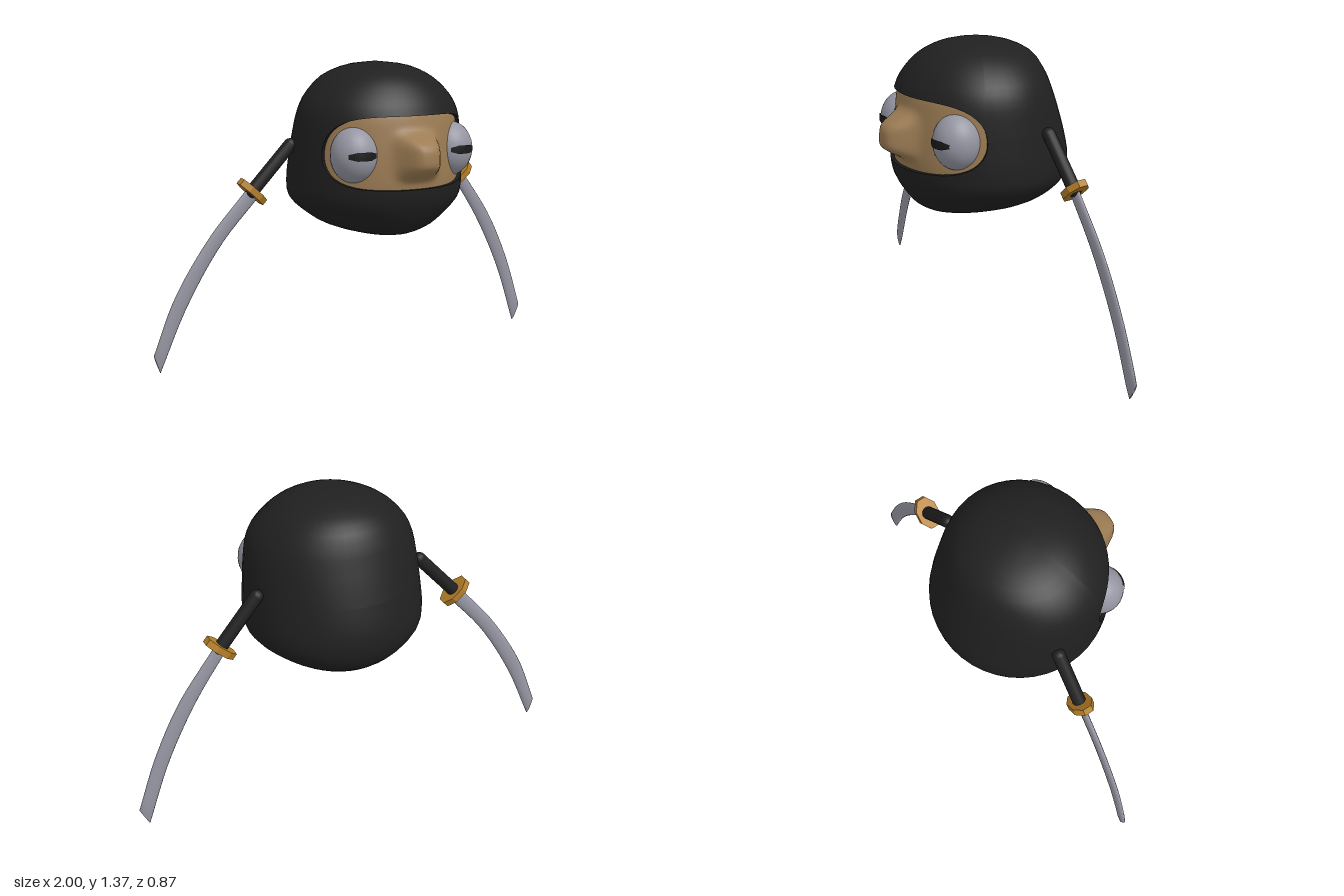
import * as THREE from 'three';
import { mergeVertices } from 'three/addons/utils/BufferGeometryUtils.js';

const CX = 0.028; // middle of the head
const V = (x, y, z) => new THREE.Vector3(x, y, z);

const makeMaterial = (name, color, side = THREE.FrontSide) => {
  const m = new THREE.MeshStandardMaterial({ color, side });
  m.name = name;
  return m;
};

// Surface from a grid of points: rows run down, columns run left to right seen from outside
function gridGeometry(rows, cols, point) {
  const pos = [], idx = [];
  for (let i = 0; i <= rows; i++)
    for (let j = 0; j <= cols; j++) pos.push(...point(i, j).toArray());
  for (let i = 0; i < rows; i++)
    for (let j = 0; j < cols; j++) {
      const a = i * (cols + 1) + j, c = a + cols + 1;
      idx.push(a, c, c + 1, a, c + 1, a + 1);
    }
  let g = new THREE.BufferGeometry();
  g.setAttribute('position', new THREE.Float32BufferAttribute(pos, 3));
  g.setIndex(idx);
  g = mergeVertices(g, 1e-5);
  g.computeVertexNormals();
  return g;
}

// Head rings from crown to base: height, half width, front z, back z
const RINGS = [
  [1.37, 0, -0.03, -0.03], [1.353, 0.135, 0.115, -0.16], [1.305, 0.246, 0.22, -0.265],
  [1.23, 0.326, 0.29, -0.315], [1.155, 0.364, 0.328, -0.345], [1.06, 0.38, 0.345, -0.38],
  [0.95, 0.39, 0.355, -0.415], [0.85, 0.396, 0.355, -0.435], [0.77, 0.385, 0.338, -0.424],
  [0.7, 0.31, 0.3, -0.385], [0.65, 0.23, 0.255, -0.31], [0.615, 0.11, 0.17, -0.16],
  [0.603, 0, 0, 0],
];
const LAST = RINGS.length - 1;
const frontCurve = new THREE.CatmullRomCurve3(RINGS.map(r => V(r[1], r[0], r[2])), false, 'catmullrom');
const backCurve = new THREE.CatmullRomCurve3(RINGS.map(r => V(r[1], r[0], r[3])), false, 'catmullrom');

function headPoint(t, theta, scale = 1) {
  const f = frontCurve.getPoint(t / LAST), b = backCurve.getPoint(t / LAST);
  const mid = (f.z + b.z) / 2, depth = (f.z - b.z) / 2;
  return V(CX + f.x * scale * Math.sin(theta), f.y, mid + depth * scale * Math.cos(theta));
}

// Face opening, in ring units, narrowing towards its corners
const CORNER = 1.15, OPEN_MID = 5.55;
const openHalf = th => {
  const k = Math.min(1, Math.abs(th) / CORNER);
  return 1.53 * Math.sqrt(1 - k ** 4);
};

// Column angles, closer together at the corners of the opening
const ANGLES = [];
for (let i = 0; i < 14; i++) ANGLES.push(-Math.PI + (Math.PI - CORNER) * i / 14);
for (let i = -14; i <= 14; i++) ANGLES.push(CORNER * Math.sin(Math.PI / 2 * i / 14));
for (let i = 1; i <= 14; i++) ANGLES.push(CORNER + (Math.PI - CORNER) * i / 14);

// Curved sword: handle, guard and blade lofted between two edges
function makeSword(name, handle, edgeA, edgeB, z0, z1, mats) {
  const sword = new THREE.Group();
  sword.name = name;
  const [top, end] = handle;
  const dir = end.clone().sub(top);
  const length = dir.length();
  dir.normalize();
  const turn = new THREE.Quaternion().setFromUnitVectors(V(0, -1, 0), dir);

  const grip = new THREE.Mesh(new THREE.CapsuleGeometry(0.029, length, 6, 14), mats.black);
  grip.name = 'handle';
  grip.position.copy(top).lerp(end, 0.5);
  grip.quaternion.copy(turn);

  let plate = new THREE.CylinderGeometry(1.06, 1.06, 1, 8).rotateY(Math.PI / 8);
  plate = plate.scale(0.074, 0.03, 0.05).toNonIndexed();
  plate.computeVertexNormals();
  const guard = new THREE.Mesh(plate, mats.gold);
  guard.name = 'guard';
  guard.position.copy(end);
  guard.quaternion.copy(turn);

  const a = new THREE.CatmullRomCurve3(edgeA.map(p => V(p[0], p[1], 0)));
  const b = new THREE.CatmullRomCurve3(edgeB.map(p => V(p[0], p[1], 0)));
  const N = 16, SIDES = 12;
  const blade = new THREE.Mesh(gridGeometry(N + 1, SIDES, (i, j) => {
    const u = Math.min(1, i / N), ang = j / SIDES * Math.PI * 2;
    const pa = a.getPoint(u), pb = b.getPoint(u);
    const w = i > N ? 0 : 1;
    const p = pa.clone().lerp(pb, 0.5 + 0.5 * w * Math.sin(ang));
    p.z = z0 + (z1 - z0) * u + 0.013 * w * Math.cos(ang) * (u > 0.97 ? 0.6 : 1);
    return p;
  }), mats.grey);
  blade.name = 'blade';
  sword.add(grip, guard, blade);
  return sword;
}

export function createModel() {
  const model = new THREE.Group();
  model.name = 'hoodedHeadWithSwords';
  const mats = {
    black: makeMaterial('black cloth', 0x202020),
    lining: makeMaterial('hood lining', 0x1a1a1a, THREE.DoubleSide),
    skin: makeMaterial('skin', 0x9c7c54),
    grey: makeMaterial('steel grey', 0x9696a3),
    gold: makeMaterial('gold', 0xb47e28),
  };
  const add = (name, geometry, material, parent = model) => {
    const m = new THREE.Mesh(geometry, material);
    m.name = name;
    parent.add(m);
    return m;
  };

  // Hood above and below the face opening
  const cols = ANGLES.length - 1;
  add('upperHood', gridGeometry(14, cols, (i, j) =>
    headPoint((OPEN_MID - openHalf(ANGLES[j])) * i / 14, ANGLES[j])), mats.black);
  add('lowerHood', gridGeometry(16, cols, (i, j) => {
    const start = OPEN_MID + openHalf(ANGLES[j]);
    return headPoint(start + (LAST - start) * i / 16, ANGLES[j]);
  }), mats.black);

  // Turned-in rim around the opening
  for (const s of [-1, 1])
    add(s < 0 ? 'upperRim' : 'lowerRim', gridGeometry(1, 28, (i, j) => {
      const th = ANGLES[14 + j];
      return headPoint(OPEN_MID + s * openHalf(th), th, i ? 0.93 : 1);
    }), mats.lining);

  // Face with the nose raised out of it
  add('face', gridGeometry(36, 60, (i, j) => {
    const p = headPoint(3.7 + 3.8 * i / 36, -1.3 + 2.6 * j / 60, 0.955);
    p.z += 0.103 * Math.exp(-(((p.x - CX) / 0.088) ** 4) - ((p.y - 0.983) / 0.085) ** 4);
    return p;
  }), mats.skin);

  // Eyes with thin pupils following the eyeball
  for (const s of [-1, 1]) {
    const eye = new THREE.Group();
    eye.name = s > 0 ? 'leftEye' : 'rightEye';
    eye.position.set(CX + s * 0.24, 0.99, 0.21);
    add('eyeball', new THREE.SphereGeometry(1, 28, 20).scale(0.104, 0.121, 0.104), mats.grey, eye);
    const pupil = new THREE.PlaneGeometry(0.126, 0.036, 12, 2);
    const p = pupil.attributes.position;
    for (let i = 0; i < p.count; i++) {
      const k = Math.abs(p.getX(i)) / 0.063;
      const x = p.getX(i) + s * 0.01;
      const y = p.getY(i) * (k > 0.5 ? 1.5 - k : 1) + 0.004;
      p.setXYZ(i, x, y, 0.104 * Math.sqrt(1 - (x / 0.104) ** 2 - (y / 0.121) ** 2) + 0.005);
    }
    pupil.computeVertexNormals();
    add('pupil', pupil, mats.lining, eye);
    model.add(eye);
  }

  // Swords, edges listed from smaller to larger x
  model.add(makeSword('leftSword', [V(0.41, 1.005, -0.153), V(0.583, 0.802, -0.168)],
    [[0.555, 0.785], [0.705, 0.567], [0.845, 0.3], [0.957, 0.002]],
    [[0.605, 0.815], [0.78, 0.578], [0.904, 0.337], [0.998, 0.085]], -0.168, -0.203, mats));
  model.add(makeSword('rightSword', [V(-0.36, 1.01, -0.103), V(-0.542, 0.815, -0.113)],
    [[-0.575, 0.818], [-0.743, 0.626], [-0.904, 0.374], [-1, 0.134]],
    [[-0.51, 0.79], [-0.685, 0.594], [-0.845, 0.337], [-0.973, 0.053]], -0.113, -0.145, mats));
  return model;
}
